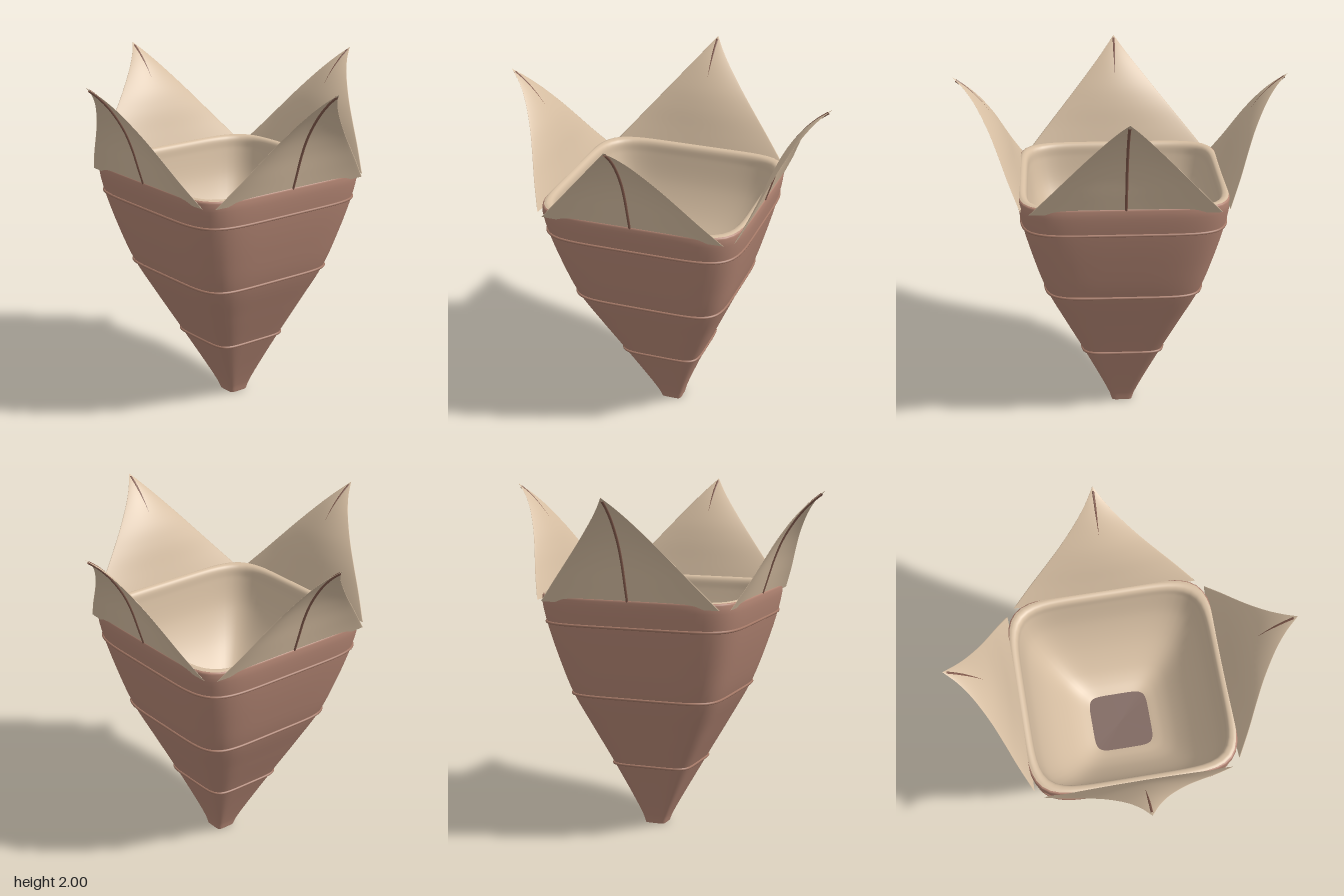
import * as THREE from 'three';

const mat = (color) => new THREE.MeshStandardMaterial({ color, roughness: 0.8, side: THREE.DoubleSide });
const shellMat = mat(0xb48674), liningMat = mat(0xd6bea2), bandMat = mat(0xa47866);
const ribMat = mat(0x80594b), floorMat = mat(0x7c645c);

// Smooth surface through closed loops: point(i, angle) gives [x, y, z] on loop i
function loft(rows, segs, point) {
  const pos = [], idx = [];
  for (let i = 0; i < rows; i++) {
    for (let j = 0; j < segs; j++) pos.push(...point(i, (j / segs) * Math.PI * 2));
  }
  for (let i = 0; i < rows - 1; i++) {
    for (let j = 0; j < segs; j++) {
      const a = i * segs + j, b = i * segs + ((j + 1) % segs);
      idx.push(a, a + segs, b, b, a + segs, b + segs);
    }
  }
  const g = new THREE.BufferGeometry();
  g.setAttribute('position', new THREE.Float32BufferAttribute(pos, 3));
  g.setIndex(idx);
  g.computeVertexNormals();
  return g;
}

// The tip of the body leans towards +x
const lean = (y) => 0.05 * Math.max(0, 1 - y / 1.42) ** 2;

// Rounded-square loop of a given half width
function squarePoint(half, y, a) {
  const n = 6, c = Math.cos(a), s = Math.sin(a);
  const r = half / (Math.abs(c) ** n + Math.abs(s) ** n) ** (1 / n);
  return [lean(y) + r * c, y, r * s];
}

// Stack of rounded squares along [half width, y] pairs, smoothed when steps is given
function squareLoft(pts, steps) {
  const raw = pts.map(([x, y]) => new THREE.Vector3(x, y, 0));
  const p = steps ? new THREE.CatmullRomCurve3(raw).getPoints(steps) : raw;
  return loft(p.length, 96, (i, a) => squarePoint(p[i].x, p[i].y, a));
}

function add(parent, name, geometry, material) {
  const mesh = new THREE.Mesh(geometry, material);
  mesh.name = name;
  parent.add(mesh);
}

// Petal: a curved, pointed blade with edges curling outward and an outer rib; built facing +z
const BASE = 1.385, TOP = 2;
const petalCurve = new THREE.CatmullRomCurve3(
  [[1.385, 0.575], [1.5, 0.613], [1.63, 0.657], [1.74, 0.708], [1.86, 0.79], [1.94, 0.867], [2, 0.945]]
    .map(([y, z]) => new THREE.Vector3(0, y, z)));

function makePetal() {
  const petal = new THREE.Group();
  const rows = 32, line = petalCurve.getPoints(rows - 1);
  add(petal, 'petalBlade', loft(rows, 40, (i, a) => {
    const t = (line[i].y - BASE) / (TOP - BASE), u = Math.cos(a);
    const curl = 0.035 * Math.sin(Math.PI * t) * u * u;
    const thick = 0.008 * (1 - 0.8 * t) * Math.sin(a);
    return [0.53 * (1 - t) * u, line[i].y, line[i].z + curl + thick];
  }), liningMat);
  const ribPath = new THREE.CatmullRomCurve3(petalCurve.getPoints(20).slice(0, 20)
    .map((p) => new THREE.Vector3(0, p.y, p.z + 0.006)));
  add(petal, 'petalRib', new THREE.TubeGeometry(ribPath, 40, 0.008, 8), ribMat);
  return petal;
}

export function createModel() {
  const model = new THREE.Group();
  model.name = 'squarePod';

  // Outer shell up to the rim, closed at the bottom
  add(model, 'outerShell', squareLoft([
    [0.061, 0], [0.077, 0.05], [0.235, 0.39], [0.343, 0.61], [0.447, 0.83], [0.52, 1.05],
    [0.574, 1.25], [0.595, 1.36], [0.597, 1.395], [0.595, 1.412], [0.589, 1.418],
  ], 70), shellMat);
  add(model, 'base', squareLoft([[0.0005, 0], [0.061, 0]]), shellMat);

  // Inner bowl, from the top of the rim down to the floor
  add(model, 'innerLining', squareLoft([
    [0.589, 1.418], [0.575, 1.422], [0.557, 1.417], [0.545, 1.4], [0.537, 1.34], [0.5, 1.17],
    [0.42, 1.0], [0.31, 0.86], [0.24, 0.803], [0.175, 0.77],
  ], 60), liningMat);
  add(model, 'innerFloor', squareLoft([[0.175, 0.77], [0.0005, 0.765]]), floorMat);

  // Slightly raised bands around the body
  for (const [y, half] of [[0.39, 0.238], [0.83, 0.45], [1.257, 0.577]]) {
    const pts = [];
    for (let j = 0; j < 96; j++) pts.push(new THREE.Vector3(...squarePoint(half, y, (j / 96) * Math.PI * 2)));
    const path = new THREE.CatmullRomCurve3(pts, true);
    add(model, 'band', new THREE.TubeGeometry(path, 160, 0.008, 8, true), bandMat);
  }

  // One petal on each side
  ['front', 'left', 'back', 'right'].forEach((side, k) => {
    const petal = makePetal();
    petal.name = side + 'Petal';
    petal.rotation.y = (k * Math.PI) / 2;
    model.add(petal);
  });
  return model;
}
